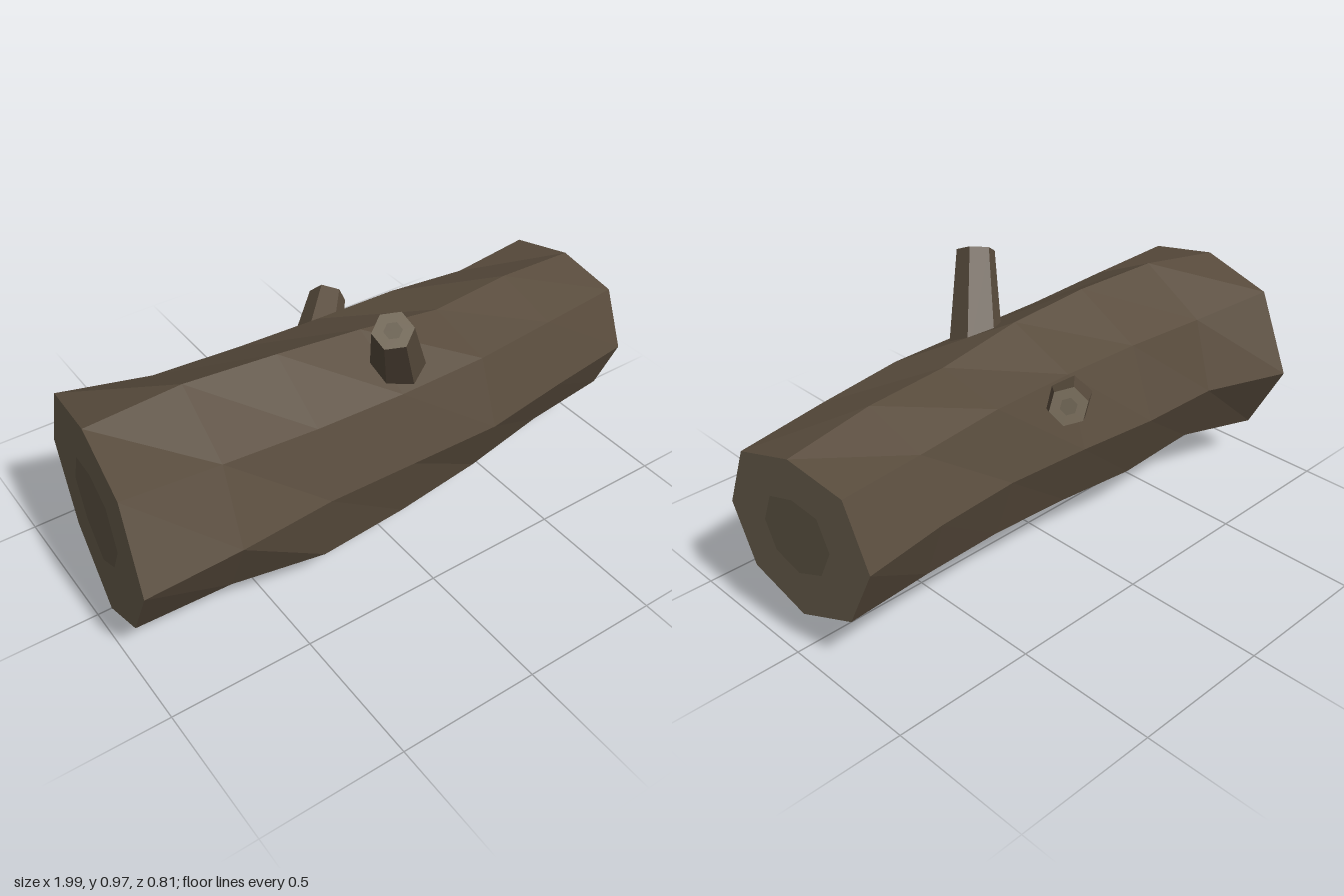
import * as THREE from 'three';

const SIDES = 8;
const CENTRE_Y = 0.43;

// Cross-sections along the log: x, bow toward the front, then eight radii
// running from the top over the front, bottom and back.
const SECTIONS = [
  [-0.95, 0.00, [0.34, 0.39, 0.405, 0.37, 0.425, 0.375, 0.41, 0.395]],
  [-0.63, 0.03, [0.383, 0.365, 0.365, 0.355, 0.36, 0.325, 0.33, 0.355]],
  [-0.31, 0.055, [0.375, 0.34, 0.315, 0.382, 0.335, 0.355, 0.35, 0.355]],
  [0.00, 0.065, [0.35, 0.333, 0.31, 0.355, 0.345, 0.34, 0.33, 0.353]],
  [0.32, 0.06, [0.30, 0.333, 0.32, 0.325, 0.35, 0.325, 0.305, 0.346]],
  [0.64, 0.03, [0.30, 0.318, 0.30, 0.297, 0.315, 0.31, 0.295, 0.304]],
  [0.963, 0.00, [0.265, 0.297, 0.287, 0.29, 0.295, 0.304, 0.312, 0.311]],
];

const material = (color) => new THREE.MeshStandardMaterial({
  color, roughness: 1, metalness: 0, flatShading: true,
});

// Corner j of a section, scaled about its centre; the plane leans with the bow.
function corner([x, bow, radii], j, scale = 1) {
  const a = (j % SIDES) * Math.PI * 2 / SIDES;
  const r = radii[j % SIDES] * scale;
  const dz = Math.sin(a) * r;
  return [x + dz * x * 0.118, CENTRE_Y + Math.cos(a) * r, bow + dz];
}

function meshFrom(name, triangles, mat) {
  const geometry = new THREE.BufferGeometry();
  geometry.setAttribute('position', new THREE.Float32BufferAttribute(triangles.flat(2), 3));
  geometry.computeVertexNormals();
  const mesh = new THREE.Mesh(geometry, mat);
  mesh.name = name;
  return mesh;
}

const quad = (a, b, c, d) => [[a, b, c], [a, c, d]];

function makeBark(mat) {
  const triangles = [];
  for (let i = 0; i < SECTIONS.length - 1; i++) {
    for (let j = 0; j < SIDES; j++) {
      const s = SECTIONS[i], t = SECTIONS[i + 1];
      triangles.push(...quad(corner(s, j), corner(s, j + 1), corner(t, j + 1), corner(t, j)));
    }
  }
  return meshFrom('bark', triangles, mat);
}

// Flat sawn end: a pale rim around a darker core.
function makeEnd(name, section, wood, core) {
  const rim = [], middle = [];
  const inner = 0.47;
  const centre = corner(section, 0, 0);
  for (let j = 0; j < SIDES; j++) {
    const [p, q] = section[0] > 0 ? [j, j + 1] : [j + 1, j];
    rim.push(...quad(corner(section, p), corner(section, q),
      corner(section, q, inner), corner(section, p, inner)));
    middle.push([centre, corner(section, p, inner), corner(section, q, inner)]);
  }
  const group = new THREE.Group();
  group.name = name;
  group.add(meshFrom('endWood', rim, wood), meshFrom('endCore', middle, core));
  return group;
}

// Tapered six-sided branch stub from inside the log to its cut tip.
function makeBranch(name, base, tip, baseRadius, tipRadius, bark, wood, core) {
  const from = new THREE.Vector3(...base), to = new THREE.Vector3(...tip);
  const axis = to.clone().sub(from);
  const length = axis.length();
  const group = new THREE.Group();
  group.name = name;

  const stem = new THREE.Mesh(
    new THREE.CylinderGeometry(tipRadius, baseRadius, length, 6, 1, true), bark);
  stem.name = 'branchBark';
  stem.position.y = length / 2;

  const cut = (label, geometry, mat) => {
    // Align the disc corners with the stem corners.
    const mesh = new THREE.Mesh(geometry.rotateZ(Math.PI / 2).rotateX(-Math.PI / 2), mat);
    mesh.name = label;
    mesh.position.y = length;
    return mesh;
  };
  group.add(stem,
    cut('branchWood', new THREE.RingGeometry(tipRadius * 0.45, tipRadius, 6), wood),
    cut('branchCore', new THREE.CircleGeometry(tipRadius * 0.45, 6), core));
  group.position.copy(from);
  group.quaternion.setFromUnitVectors(new THREE.Vector3(0, 1, 0), axis.normalize());
  return group;
}

export function createModel() {
  const bark = material(0x594c3d);
  const wood = material(0x6c614f);
  const core = material(0x625847);

  const log = new THREE.Group();
  log.name = 'log';
  log.add(
    makeBark(bark),
    makeEnd('leftEnd', SECTIONS[SECTIONS.length - 1], wood, core),
    makeEnd('rightEnd', SECTIONS[0], wood, core),
    makeBranch('frontBranch', [0.09, 0.615, 0.16], [-0.06, 0.945, 0.318],
      0.098, 0.066, bark, wood, core),
    makeBranch('backBranch', [-0.01, 0.585, -0.175], [0.125, 0.66, -0.308],
      0.083, 0.064, bark, wood, core),
  );
  return log;
}
